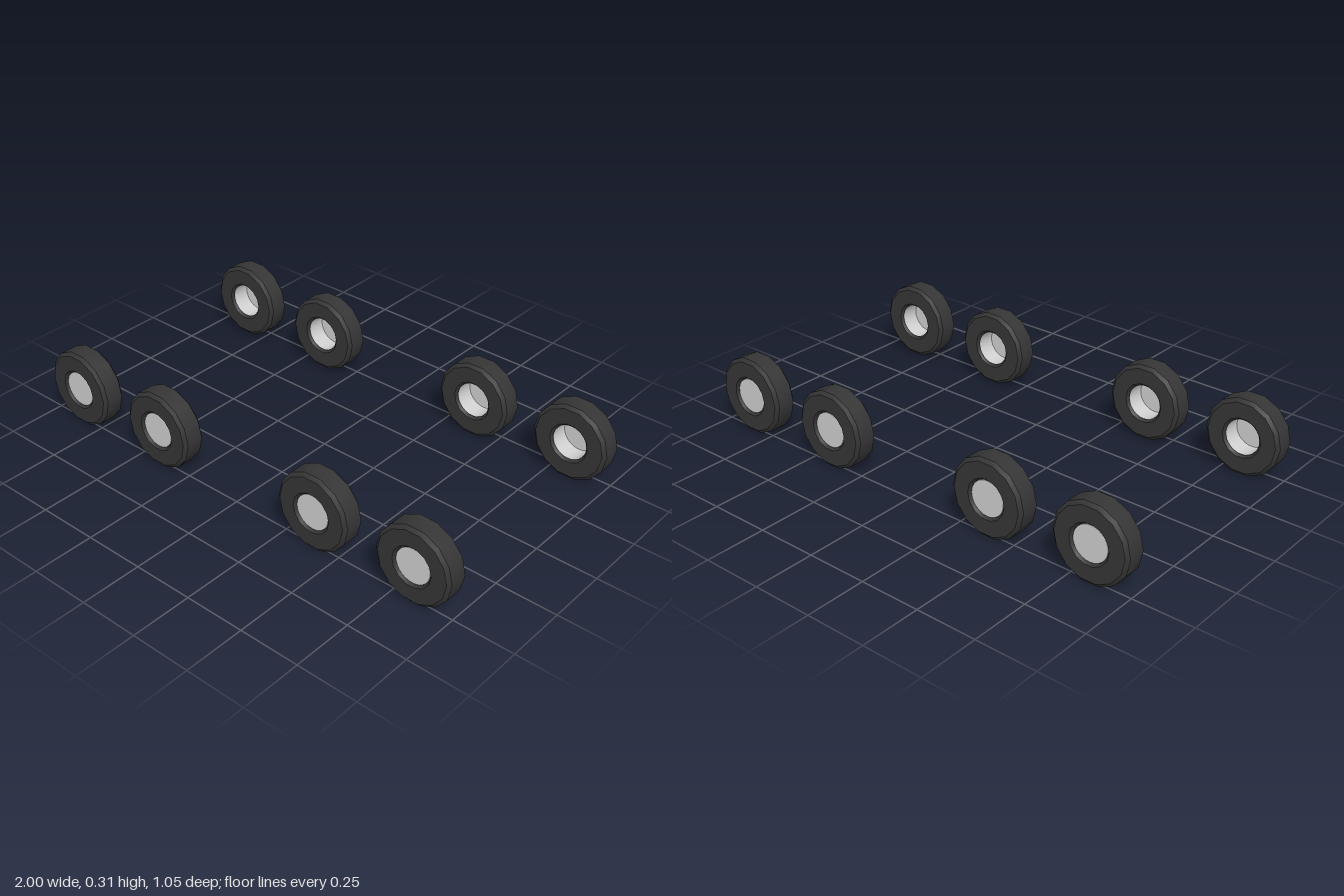
import * as THREE from 'three';
import { toCreasedNormals } from 'three/addons/utils/BufferGeometryUtils.js';

const rubber = new THREE.MeshStandardMaterial({ color: 0x353535 });
rubber.name = 'dark rubber';
const metal = new THREE.MeshStandardMaterial({ color: 0xcfcfcf, side: THREE.DoubleSide });
metal.name = 'light metal';

const R = 0.161;      // tyre radius at a corner
const HALF = 0.048;   // half the tyre width
const AXLE_Y = R * Math.cos(Math.PI / 14);

// Lathe a profile of [radius, height]; height points to the wheel's outer side
function lathe(profile, sides) {
  const points = profile.map(([r, y]) => new THREE.Vector2(r, y));
  return toCreasedNormals(new THREE.LatheGeometry(points, sides, Math.PI / 2), Math.PI / 6);
}

export function createModel() {
  const model = new THREE.Group();
  model.name = 'wheelSet';

  // Fourteen-sided tyre, bevelled at the tread and around the hole
  const tyreGeometry = lathe([
    [0.074, -HALF + 0.01], [0.083, -HALF], [0.147, -HALF], [R, -HALF + 0.012],
    [R, HALF - 0.012], [0.147, HALF], [0.083, HALF], [0.074, HALF - 0.01],
    [0.074, -HALF + 0.01],
  ], 14);

  // Hub cup: closed on the outer side, open towards the middle
  const hubGeometry = lathe([
    [0.072, -HALF + 0.01], [0.072, HALF - 0.009], [0, HALF - 0.009],
  ], 28);

  for (const side of [1, -1]) {
    for (const x of [-0.839, -0.392, 0.392, 0.839]) {
      const wheel = new THREE.Group();
      wheel.name = side > 0 ? 'frontWheel' : 'backWheel';
      const tyre = new THREE.Mesh(tyreGeometry, rubber);
      tyre.name = 'tyre';
      const hub = new THREE.Mesh(hubGeometry, metal);
      hub.name = 'hub';
      wheel.add(tyre, hub);
      wheel.rotation.x = side * Math.PI / 2;
      wheel.position.set(x, AXLE_Y, side * 0.479);
      model.add(wheel);
    }
  }
  return model;
}
